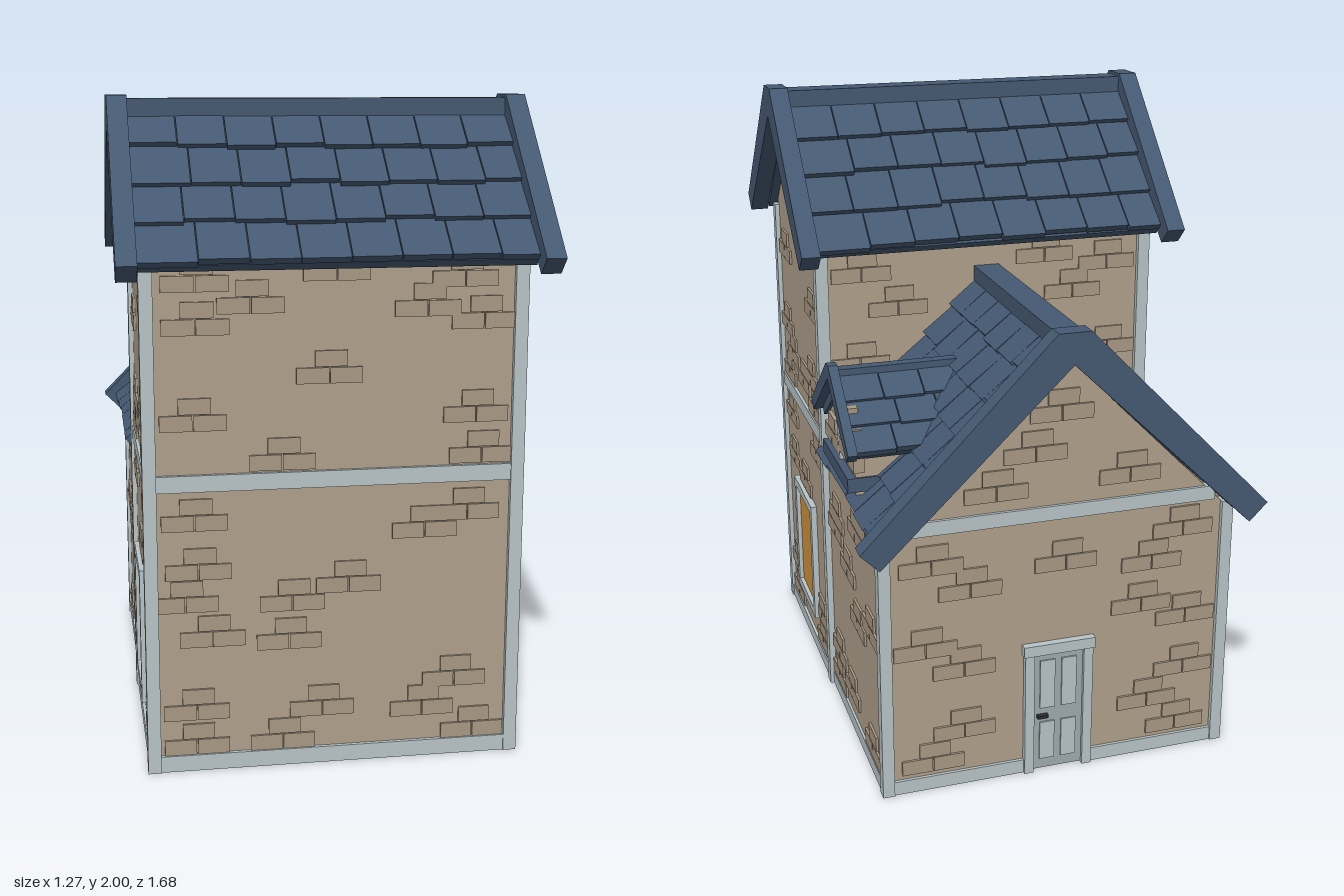
import * as THREE from 'three';
import { mergeGeometries } from 'three/addons/utils/BufferGeometryUtils.js';

const mat = (name, color) => {
  const m = new THREE.MeshStandardMaterial({ color });
  m.name = name;
  return m;
};

export function createModel() {
  const wallMat = mat('plaster', 0xb0a08c);
  const brickMat = mat('brick', 0xa99985);
  const trimMat = mat('pale trim', 0xb9c5c8);
  const doorMat = mat('door panel', 0x9fabaf);
  const roofMat = mat('slate', 0x455972);
  const glassMat = mat('amber glass', 0xd2923f);
  const ironMat = mat('iron', 0x2b2f35);

  const house = new THREE.Group();
  house.name = 'house';
  let seed = 7;
  const rand = () => (seed = (seed * 16807) % 2147483647) / 2147483647;

  const add = (parent, name, geo, material) => {
    const m = new THREE.Mesh(geo, material);
    m.name = name;
    parent.add(m);
    return m;
  };
  // Box given by its limits on each axis
  const box = (parent, name, x0, x1, y0, y1, z0, z1, material) => {
    const m = add(parent, name, new THREE.BoxGeometry(x1 - x0, y1 - y0, z1 - z0), material);
    m.position.set((x0 + x1) / 2, (y0 + y1) / 2, (z0 + z1) / 2);
    return m;
  };
  // Flat outline extruded along z, centred on z = 0
  const slab = (pts, depth) => {
    const shape = new THREE.Shape(pts.map(([x, y]) => new THREE.Vector2(x, y)));
    return new THREE.ExtrudeGeometry(shape, { depth, bevelEnabled: false }).translate(0, 0, -depth / 2);
  };
  const group = (name, x, z, turn, parent = house) => {
    const g = new THREE.Group();
    g.name = name;
    g.position.set(x, 0, z);
    g.rotation.y = turn;
    parent.add(g);
    return g;
  };

  // Clusters of three bricks: [centre, bottom] pairs on a wall plane
  const bricks = (parent, list) => {
    const parts = [];
    for (const [x, y] of list) {
      for (const [dx, dy] of [[-0.05, 0], [0.05, 0], [0.005, 0.05]]) {
        parts.push(new THREE.BoxGeometry(0.096, 0.047, 0.035).translate(x + dx, y + dy + 0.024, 0));
      }
    }
    add(parent, 'bricks', mergeGeometries(parts), brickMat);
  };

  // Inverted V with a flat top, running along x
  const chevron = (top, reach, tipY, apexY, flat, t, depth) => slab([
    [-flat, top], [flat, top], [reach, tipY], [reach - t, tipY - t],
    [0, apexY], [t - reach, tipY - t], [-reach, tipY],
  ], depth).rotateY(Math.PI / 2);

  // Tiled gable roof with its ridge along local x
  const tiledRoof = (parent, top, reach, pitch, length, rows, cols, ridge) => {
    const tan = Math.tan(pitch), y0 = top - 0.01;
    const deckTip = y0 - 0.03 - (reach - 0.01) * tan;
    add(parent, 'roofDeck', chevron(y0 - 0.04, reach - 0.01, deckTip, y0 - 0.075, 0.01, 0.02, length), roofMat);
    box(parent, 'ridgeCap', -length / 2, length / 2, y0 - 0.06, y0, -ridge, ridge, roofMat);
    const start = ridge * 0.7 / Math.cos(pitch);
    const step = (reach / Math.cos(pitch) - start) / rows, w = length / cols;
    for (const turn of [0, Math.PI]) {
      const side = group('roofSide', 0, 0, turn, parent);
      const tiles = [];
      for (let r = 0; r < rows; r++) {
        const shift = r % 2 ? 0.03 : 0;
        for (let c = 0; c < cols; c++) {
          const x0 = -length / 2 + c * w + (c ? shift : 0);
          const x1 = -length / 2 + (c + 1) * w + (c < cols - 1 ? shift : 0);
          const len = step + 0.01 + rand() * 0.018;
          tiles.push(new THREE.BoxGeometry(x1 - x0 - 0.003, 0.022, len)
            .rotateX(-0.09 - rand() * 0.04)
            .translate((x0 + x1) / 2, -0.013, start + r * step + len / 2 - 0.008));
        }
      }
      const m = add(side, 'tiles', mergeGeometries(tiles), roofMat);
      m.position.y = y0;
      m.rotation.x = pitch;
    }
  };

  const Q = Math.PI / 2, MZ = 0.338;

  // Main block: front wall and the upper back wall above the wing
  const front = group('frontWall', 0, 0.68, 0);
  box(front, 'wall', -0.55, 0.55, 0, 1.545, -0.01, 0.01, wallMat);
  bricks(front, [
    [-0.41, 1.455], [-0.25, 1.39], [-0.41, 1.33], [0, 1.48], [0.38, 1.455], [0.44, 1.33], [0.27, 1.37],
    [-0.02, 1.18], [-0.42, 1.05], [0.42, 1.05], [-0.16, 0.925], [0.44, 0.925], [-0.42, 0.75], [0.4, 0.75],
    [0.27, 0.7], [-0.41, 0.6], [-0.45, 0.5], [-0.37, 0.39], [0.04, 0.54], [-0.13, 0.49], [-0.14, 0.37],
    [0.37, 0.22], [0.27, 0.13], [-0.42, 0.16], [-0.04, 0.15], [-0.16, 0.05], [-0.42, 0.05], [0.43, 0.05],
  ]);
  const back = group('upperBackWall', 0, -0.005, Math.PI);
  box(back, 'wall', -0.55, 0.55, 0.82, 1.545, -0.01, 0.01, wallMat);
  bricks(back, [[-0.42, 1.42], [-0.3, 1.3], [0.42, 1.4], [0.3, 1.31], [-0.43, 1.12], [0.43, 1.1], [0.2, 1.44]]);

  // Both sides: gable wall, wing wall, window and beams
  for (const s of [1, -1]) {
    const flip = ([z, y]) => [-s * z, y];
    const side = group(s > 0 ? 'leftGable' : 'rightGable', s * 0.545, 0, s * Q);
    add(side, 'gableWall', slab([[-0.015, 0], [0.69, 0], [0.69, 1.555], [MZ, 1.907], [-0.015, 1.555]].map(flip), 0.02), wallMat);
    bricks(side, [
      [0.56, 1.37], [0.34, 1.78], [0.29, 1.62], [0.13, 1.56], [0.12, 1.27], [0.57, 1.1], [0.48, 1.01],
      [0.3, 0.97], [0.56, 0.92], [0.12, 0.92], [0.17, 1.02], [0.56, 0.76], [0.12, 0.76], [0.54, 0.6],
      [0.35, 0.575], [0.57, 0.16], [0.56, 0.05], [0.12, 0.05], [0.13, 0.15],
    ].map(flip));
    const win = group('window', -s * 0.34, 0, 0, side);
    box(win, 'glass', -0.13, 0.13, 0.16, 0.55, 0.01, 0.016, glassMat);
    for (const k of [-1, 1]) {
      box(win, 'windowJamb', k * 0.138 - 0.015, k * 0.138 + 0.015, 0.14, 0.57, 0.005, 0.03, trimMat);
      box(win, 'windowRail', -0.153, 0.153, 0.355 + k * 0.2 - 0.015, 0.355 + k * 0.2 + 0.015, 0.005, 0.03, trimMat);
    }
    const wing = group('wingSideWall', s * 0.54, 0, s * Q);
    add(wing, 'wall', slab([[-0.015, 0], [-0.74, 0], [-0.74, 0.84], [-0.015, 0.84]].map(flip), 0.02), wallMat);
    bricks(wing, [
      [-0.13, 0.6], [-0.3, 0.53], [-0.15, 0.65], [-0.43, 0.71], [-0.58, 0.76], [-0.6, 0.46], [-0.43, 0.4],
      [-0.13, 0.05], [-0.14, 0.15], [-0.32, 0.1], [-0.6, 0.05],
    ].map(flip));

    // Corner posts and horizontal beams
    const span = (name, a, b, y0, y1, z0, z1) =>
      box(house, name, Math.min(s * a, s * b), Math.max(s * a, s * b), y0, y1, z0, z1, trimMat);
    span('frontPost', 0.53, 0.57, 0, 1.54, 0.667, 0.706);
    span('middlePost', 0.53, 0.57, 0, 1.54, -0.032, 0.008);
    span('backPost', 0.525, 0.562, 0, 0.84, -0.755, -0.717);
    span('sideBeam', 0.532, 0.565, 0.87, 0.915, 0, 0.68);
    span('sideSill', 0.532, 0.565, 0, 0.045, 0, 0.68);
    span('wingSill', 0.527, 0.558, 0, 0.045, -0.73, 0);
  }
  box(house, 'frontBeam', -0.54, 0.54, 0.87, 0.92, 0.667, 0.702, trimMat);
  box(house, 'frontSill', -0.54, 0.54, 0, 0.05, 0.667, 0.702, trimMat);

  // Wing back gable with its door
  const rear = group('wingBackGable', 0, -0.73, Math.PI);
  add(rear, 'gableWall', slab([[-0.54, 0], [0.54, 0], [0.54, 0.825], [0, 1.365], [-0.54, 0.825]], 0.02), wallMat);
  bricks(rear, [
    [-0.4, 0.72], [-0.28, 0.63], [0.4, 0.74], [0.3, 0.64], [0.02, 0.68], [-0.42, 0.45], [-0.3, 0.37],
    [0.42, 0.44], [0.27, 0.5], [-0.4, 0.06], [-0.3, 0.16], [0.4, 0.06], [0.3, 0.16], [0.42, 0.26],
    [-0.2, 0.93], [0.22, 0.94], [0, 1.16], [-0.08, 1.04],
  ]);
  box(rear, 'backBeam', -0.5, 0.5, 0.85, 0.895, -0.015, 0.02, trimMat);
  for (const k of [-1, 1]) {
    box(rear, 'backSill', k > 0 ? 0.1 : -0.53, k > 0 ? 0.53 : -0.1, 0, 0.045, -0.015, 0.02, trimMat);
    box(rear, 'doorJamb', k * 0.095 - 0.015, k * 0.095 + 0.015, 0, 0.44, -0.015, 0.03, trimMat);
    box(rear, 'doorPanelTop', k * 0.035 - 0.024, k * 0.035 + 0.024, 0.22, 0.385, 0.015, 0.023, trimMat);
    box(rear, 'doorPanelBottom', k * 0.035 - 0.024, k * 0.035 + 0.024, 0.04, 0.17, 0.015, 0.023, trimMat);
  }
  box(rear, 'doorLintel', -0.115, 0.115, 0.41, 0.445, -0.015, 0.034, trimMat);
  box(rear, 'doorLeaf', -0.08, 0.08, 0.005, 0.41, -0.012, 0.018, doorMat);
  box(rear, 'doorHandle', -0.07, -0.035, 0.19, 0.2, 0.02, 0.036, ironMat);

  // Main roof with verge boards at both ends
  const mainRoof = group('mainRoof', 0, MZ, 0);
  tiledRoof(mainRoof, 2, 0.43, Math.PI / 4, 1.16, 4, 8, 0.042);
  for (const s of [1, -1]) {
    add(mainRoof, 'vergeBoard', chevron(2, 0.502, 1.55, 1.905, 0.048, 0.05, 0.06), roofMat).position.x = s * 0.606;
  }

  // Wing roof, ridge running back
  const wingRoof = group('wingRoof', 0, -0.4, Q);
  tiledRoof(wingRoof, 1.455, 0.575, Math.PI / 4, 0.77, 6, 6, 0.042);
  add(wingRoof, 'vergeBoard', chevron(1.455, 0.632, 0.86, 1.36, 0.05, 0.057, 0.06), roofMat).position.x = 0.41;

  // Dormer on the wing's left slope
  const dormer = group('dormer', 0.39, -0.335, 0);
  tiledRoof(dormer, 1.258, 0.235, 0.646, 0.375, 3, 3, 0.018);
  add(dormer, 'dormerVerge', chevron(1.262, 0.267, 1.065, 1.218, 0.018, 0.028, 0.03), roofMat).position.x = 0.2;
  const body = add(dormer, 'dormerWall', slab([[-0.172, 0.9], [0.172, 0.9], [0.172, 1.085], [0, 1.215], [-0.172, 1.085]], 0.28), wallMat);
  body.rotation.y = Q;
  body.position.x = 0.035;
  box(dormer, 'dormerSill', 0.1, 0.2, 0.912, 0.957, -0.178, 0.178, roofMat);
  box(dormer, 'dormerPost', 0.16, 0.187, 0.95, 1.21, -0.013, 0.013, trimMat);
  bricks(group('dormerBricks', 0.17, 0, Q, dormer), [[-0.1, 0.965], [0.11, 0.985], [0.08, 1.065]]);

  return house;
}
